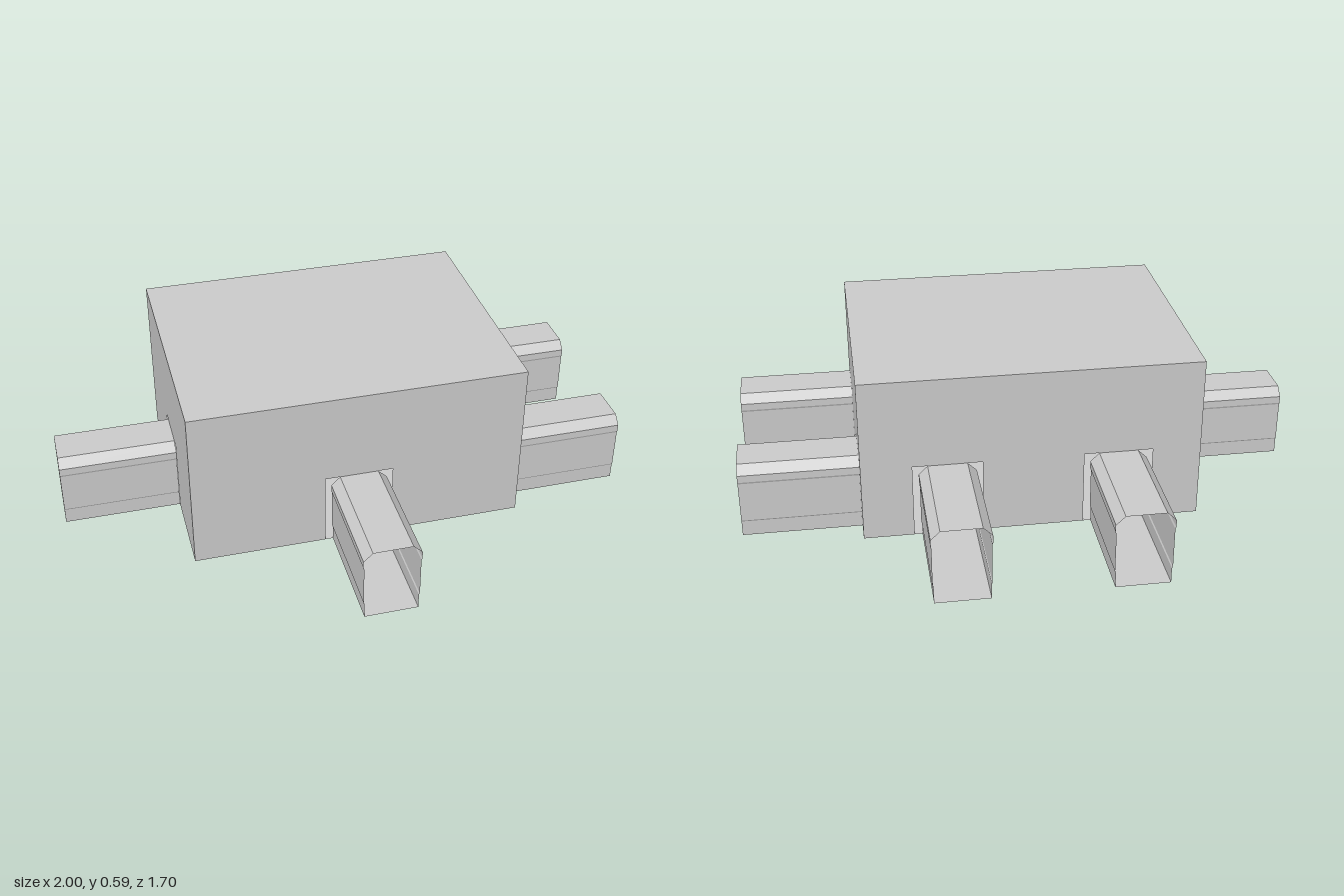
import * as THREE from 'three';

const material = new THREE.MeshStandardMaterial({ color: 0xcccccc, side: THREE.DoubleSide, flatShading: true });

const ROOM = { x: 0.588, z: 0.442, height: 0.59 };
const DOOR_HEIGHT = 0.268;

function add(parent, name, geometry) {
  const mesh = new THREE.Mesh(geometry, material);
  mesh.name = name;
  parent.add(mesh);
  return mesh;
}

// Thin wall in the xy plane, with doorways cut up from its bottom edge
function wallGeometry(half, doors, doorHalf) {
  const shape = new THREE.Shape();
  shape.moveTo(-half, 0);
  for (const d of [...doors].sort((a, b) => a - b)) {
    shape.lineTo(d - doorHalf, 0);
    shape.lineTo(d - doorHalf, DOOR_HEIGHT);
    shape.lineTo(d + doorHalf, DOOR_HEIGHT);
    shape.lineTo(d + doorHalf, 0);
  }
  shape.lineTo(half, 0);
  shape.lineTo(half, ROOM.height);
  shape.lineTo(-half, ROOM.height);
  shape.closePath();
  return new THREE.ShapeGeometry(shape);
}

// Closed corridor cross-section swept along z as a thin open-ended shell
function corridorGeometry(start, end) {
  const half = [[0.093, 0], [0.093, 0.055], [0.096, 0.06], [0.096, 0.205], [0.099, 0.212],
    [0.099, 0.238], [0.068, DOOR_HEIGHT]];
  const loop = [...half, ...half.map(([x, y]) => [-x, y]).reverse()];
  const positions = [];
  loop.forEach(([x0, y0], i) => {
    const [x1, y1] = loop[(i + 1) % loop.length];
    positions.push(x0, y0, end, x1, y1, start, x1, y1, end);
    positions.push(x0, y0, end, x0, y0, start, x1, y1, start);
  });
  const geometry = new THREE.BufferGeometry();
  geometry.setAttribute('position', new THREE.Float32BufferAttribute(positions, 3));
  geometry.computeVertexNormals();
  return geometry;
}

// Small standing figure for scale
function createFigure() {
  const figure = new THREE.Group();
  figure.name = 'scaleFigure';
  add(figure, 'head', new THREE.SphereGeometry(0.008, 8, 6)).position.y = 0.098;
  add(figure, 'torso', new THREE.CylinderGeometry(0.011, 0.008, 0.042, 6)).position.y = 0.069;
  for (const side of [-1, 1]) {
    const leg = add(figure, 'leg', new THREE.CylinderGeometry(0.005, 0.004, 0.05, 6));
    leg.position.set(side * 0.008, 0.025, 0);
    leg.rotation.z = side * 0.12;
    const arm = add(figure, 'arm', new THREE.CylinderGeometry(0.003, 0.003, 0.045, 6));
    arm.position.set(side * 0.018, 0.066, 0);
    arm.rotation.z = side * 0.4;
  }
  return figure;
}

export function createModel() {
  const model = new THREE.Group();

  // Each side: doorway offsets in world x or z, doorway half width, outward turn about y
  const sides = [
    { name: 'front', doors: [-0.003], doorHalf: 0.12, turn: 0, sign: 1 },
    { name: 'back', doors: [-0.298, 0.293], doorHalf: 0.12, turn: Math.PI, sign: -1 },
    { name: 'left', doors: [-0.265, 0.262], doorHalf: 0.1, turn: Math.PI / 2, sign: -1 },
    { name: 'right', doors: [0.025], doorHalf: 0.1, turn: -Math.PI / 2, sign: 1 },
  ];
  for (const { name, doors, doorHalf, turn, sign } of sides) {
    const group = new THREE.Group();
    group.name = name + 'Side';
    group.rotation.y = turn;
    const alongX = name === 'front' || name === 'back';
    const depth = alongX ? ROOM.z : ROOM.x;
    const reach = alongX ? 0.852 : 1;
    const offsets = doors.map((d) => d * sign);
    const wall = wallGeometry(alongX ? ROOM.x : ROOM.z, offsets, doorHalf);
    add(group, name + 'Wall', wall).position.z = depth;
    for (const offset of offsets) {
      add(group, name + 'Corridor', corridorGeometry(depth, reach)).position.x = offset;
    }
    model.add(group);
  }

  // Roof and floor of the central hall
  const slab = new THREE.PlaneGeometry(ROOM.x * 2, ROOM.z * 2);
  const roof = add(model, 'roof', slab);
  roof.rotation.x = -Math.PI / 2;
  roof.position.y = ROOM.height;
  add(model, 'floor', slab).rotation.x = Math.PI / 2;

  // Low bench against the inside of the back wall
  add(model, 'bench', new THREE.BoxGeometry(0.32, 0.055, 0.05)).position.set(0, 0.0275, -ROOM.z + 0.03);

  model.add(createFigure());
  return model;
}
